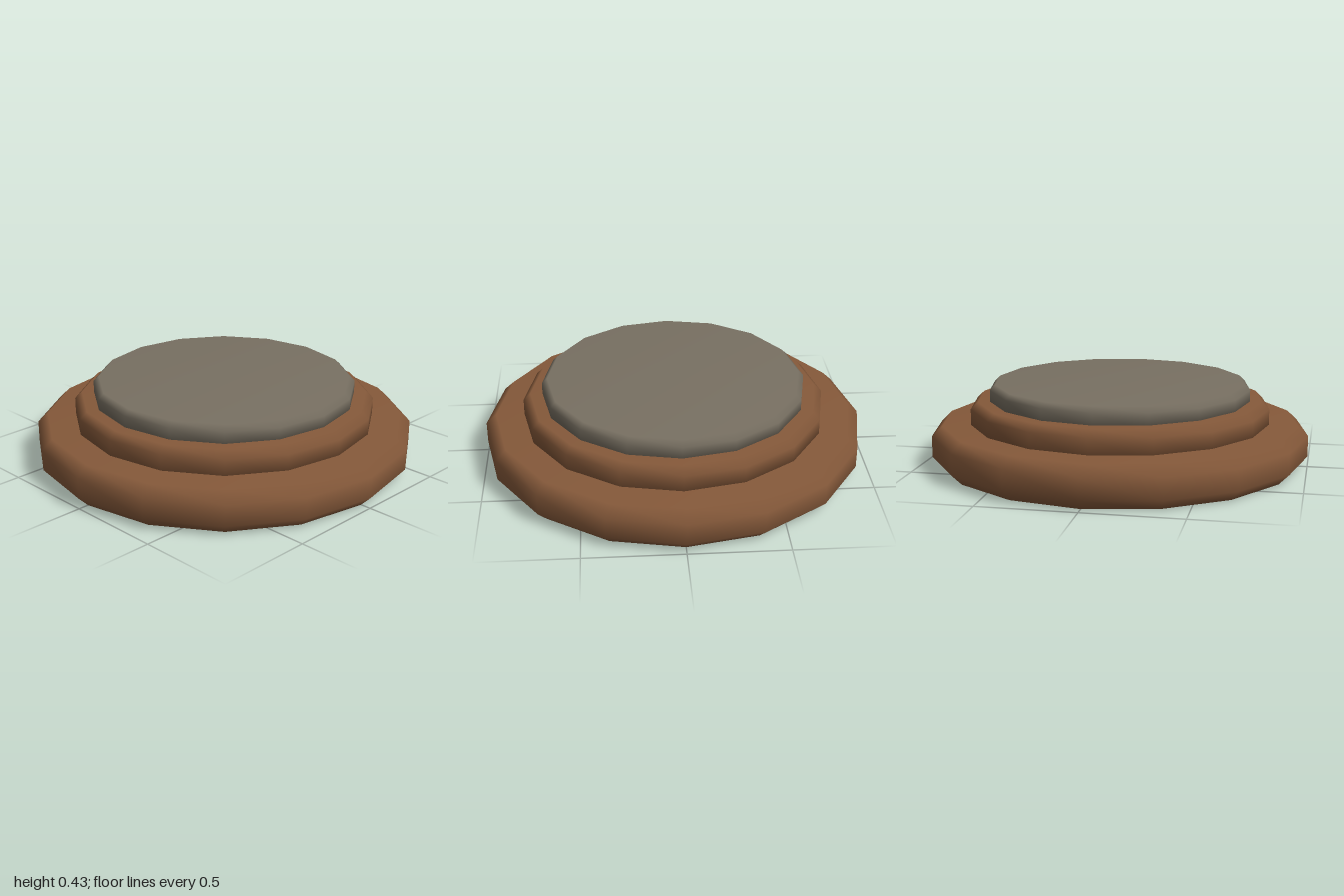
import * as THREE from 'three';
import { mergeVertices } from 'three/addons/utils/BufferGeometryUtils.js';

const SIDES = 16;

// Bevelled disc turned from a short profile, with area-weighted smooth normals
// so the broad faces stay flat and only the bevels look rounded.
function disc(name, profile, material) {
  const points = profile.map(([r, y]) => new THREE.Vector2(r, y));
  let geometry = new THREE.LatheGeometry(points, SIDES);
  geometry.deleteAttribute('normal');
  geometry.deleteAttribute('uv');
  geometry = mergeVertices(geometry, 1e-4);
  geometry.computeVertexNormals();
  const mesh = new THREE.Mesh(geometry, material);
  mesh.name = name;
  return mesh;
}

export function createModel() {
  const wood = new THREE.MeshStandardMaterial({ color: 0x85593a });
  wood.name = 'brown wood';
  const stone = new THREE.MeshStandardMaterial({ color: 0x787062 });
  stone.name = 'grey stone';

  const model = new THREE.Group();
  model.name = 'roundPedestal';
  model.add(
    // wide foot, bevelled above and below
    disc('base', [[0, 0], [0.945, 0], [1, 0.055], [1, 0.165], [0.945, 0.217], [0, 0.217]], wood),
    // middle step
    disc('step', [[0, 0.18], [0.795, 0.18], [0.795, 0.3], [0.757, 0.337], [0, 0.337]], wood),
    // inset top slab
    disc('topSlab', [[0, 0.31], [0.693, 0.31], [0.693, 0.397], [0.665, 0.425], [0, 0.425]], stone),
  );
  return model;
}
